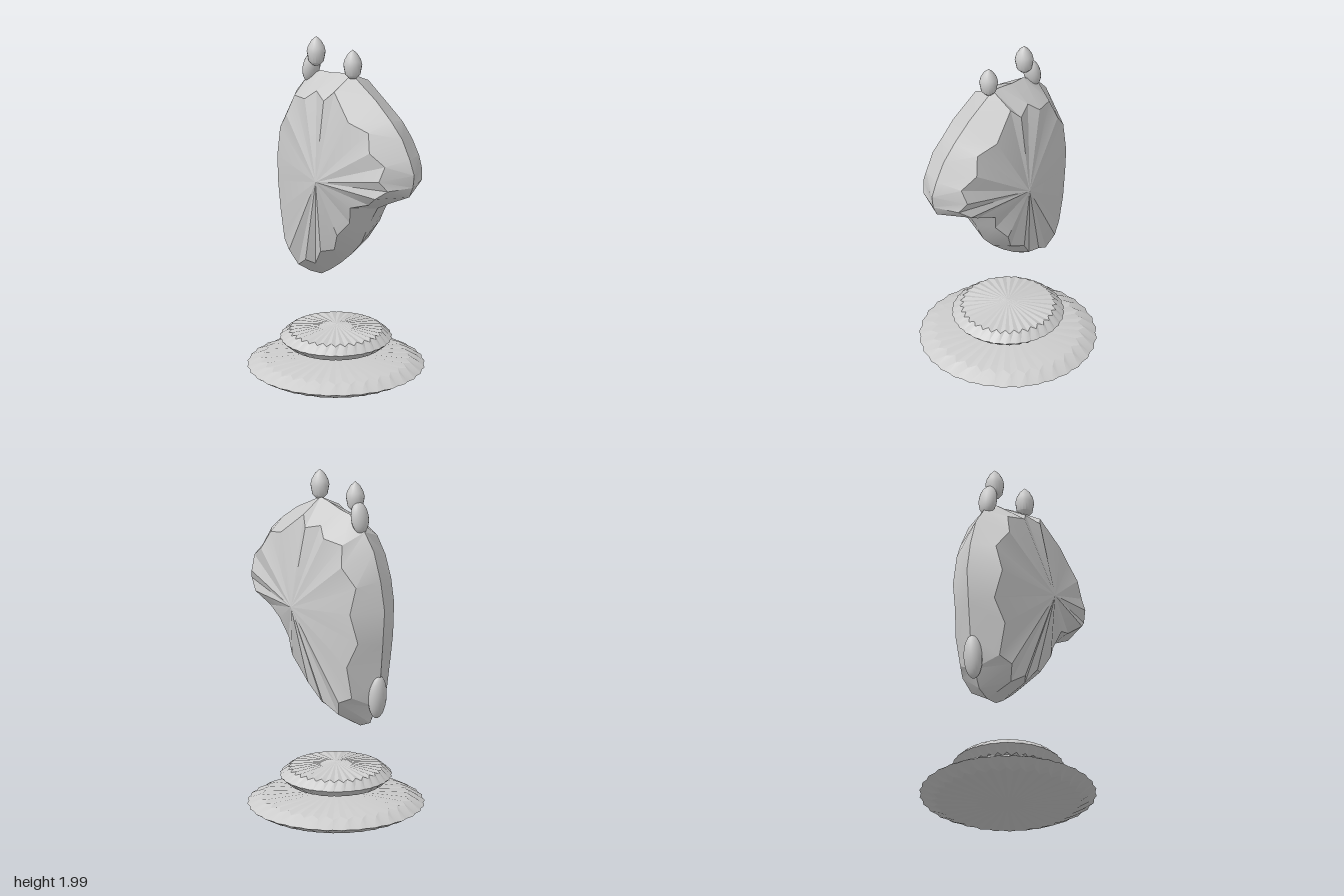
import * as THREE from 'three';
import { toCreasedNormals } from 'three/addons/utils/BufferGeometryUtils.js';

const material = new THREE.MeshStandardMaterial({ color: 0xcccccc, side: THREE.DoubleSide });

function addMesh(group, name, geometry, x = 0, y = 0, z = 0) {
  const mesh = new THREE.Mesh(geometry, material);
  mesh.name = name;
  mesh.position.set(x, y, z);
  group.add(mesh);
  return mesh;
}

// Cushion-like solid: an outline at z = 0 (counter-clockwise), a zigzag
// shoulder ring on each side, and a shallow apex over the centre.
function pillow(outline, [cx, cy], h) {
  const n = outline.length;
  const pos = outline.flatMap(([x, y]) => [x, y, 0]);
  const index = [];
  for (const side of [1, -1]) {
    const ring = pos.length / 3;
    outline.forEach(([x, y], i) => {
      const [k, z] = i % 2 ? [0.79, 0.66] : [0.875, 0.525];
      pos.push(cx + (x - cx) * k, cy + (y - cy) * k, side * z * h);
    });
    const apex = pos.length / 3;
    pos.push(cx, cy, side * h);
    const tri = (a, b, c) => index.push(...(side > 0 ? [a, b, c] : [a, c, b]));
    for (let i = 0; i < n; i++) {
      const j = (i + 1) % n;
      tri(i, j, ring + j);
      tri(i, ring + j, ring + i);
      tri(ring + i, ring + j, apex);
    }
  }
  const geometry = new THREE.BufferGeometry();
  geometry.setAttribute('position', new THREE.Float32BufferAttribute(pos, 3));
  geometry.setIndex(index);
  return toCreasedNormals(geometry, 0.42);
}

// Flat round disc with a scalloped rim
function disc(radius, h) {
  const outline = Array.from({ length: 64 }, (_, i) => {
    const a = (i / 64) * Math.PI * 2;
    const r = radius * (i % 2 ? 1 : 0.98);
    return [r * Math.cos(a), r * Math.sin(a)];
  });
  return pillow(outline, [0, 0], h).rotateX(-Math.PI / 2);
}

export function createModel() {
  const model = new THREE.Group();
  model.name = 'horseHeadPiece';

  // Base discs
  addMesh(model, 'lowerBase', disc(0.495, 0.074), -0.065, 0.08, 0);
  addMesh(model, 'upperBase', disc(0.313, 0.075), -0.065, 0.245, 0);

  // Head and neck, listed clockwise from the poll
  const profile = [
    [0.06, 1.845], [0.25, 1.74], [0.37, 1.65], [0.46, 1.565], [0.52, 1.46],
    [0.555, 1.375], [0.545, 1.3], [0.515, 1.235], [0.37, 1.16], [0.265, 1.1],
    [0.2, 0.99], [0.135, 0.855], [0.06, 0.77], [-0.03, 0.69], [-0.11, 0.63],
    [-0.18, 0.587], [-0.265, 0.58], [-0.345, 0.615], [-0.39, 0.72],
    [-0.43, 0.9], [-0.448, 1.1], [-0.463, 1.3], [-0.43, 1.47], [-0.375, 1.63],
    [-0.3, 1.725], [-0.19, 1.8], [-0.1, 1.81], [0, 1.835],
  ];
  // Rotate by one after reversing so corners keep the even slots
  const outline = [...profile].reverse();
  outline.unshift(outline.pop());
  addMesh(model, 'head', pillow(outline, [0.03, 1.26], 0.254));

  // Pointed ears
  const earProfile = [
    [0, 0], [0.024, 0.008], [0.043, 0.03], [0.053, 0.085], [0.046, 0.115],
    [0.028, 0.148], [0, 0.175],
  ].map(([r, y]) => new THREE.Vector2(r, y));
  for (const [name, x] of [['rearEar', -0.21], ['frontEar', 0.08]]) {
    addMesh(model, name, toCreasedNormals(new THREE.LatheGeometry(earProfile, 16), 0.6), x, 1.825, 0.012);
  }

  // Mane tufts at the top and bottom of the neck
  for (const [name, x, y, rx, ry, tilt] of [
    ['upperManeTuft', -0.26, 1.8, 0.043, 0.092, -0.18],
    ['lowerManeTuft', -0.405, 0.785, 0.046, 0.128, 0.08],
  ]) {
    const tuft = addMesh(model, name, new THREE.SphereGeometry(1, 20, 14), x, y, 0);
    tuft.scale.set(rx, ry, 0.055);
    tuft.rotation.z = tilt;
  }
  return model;
}
